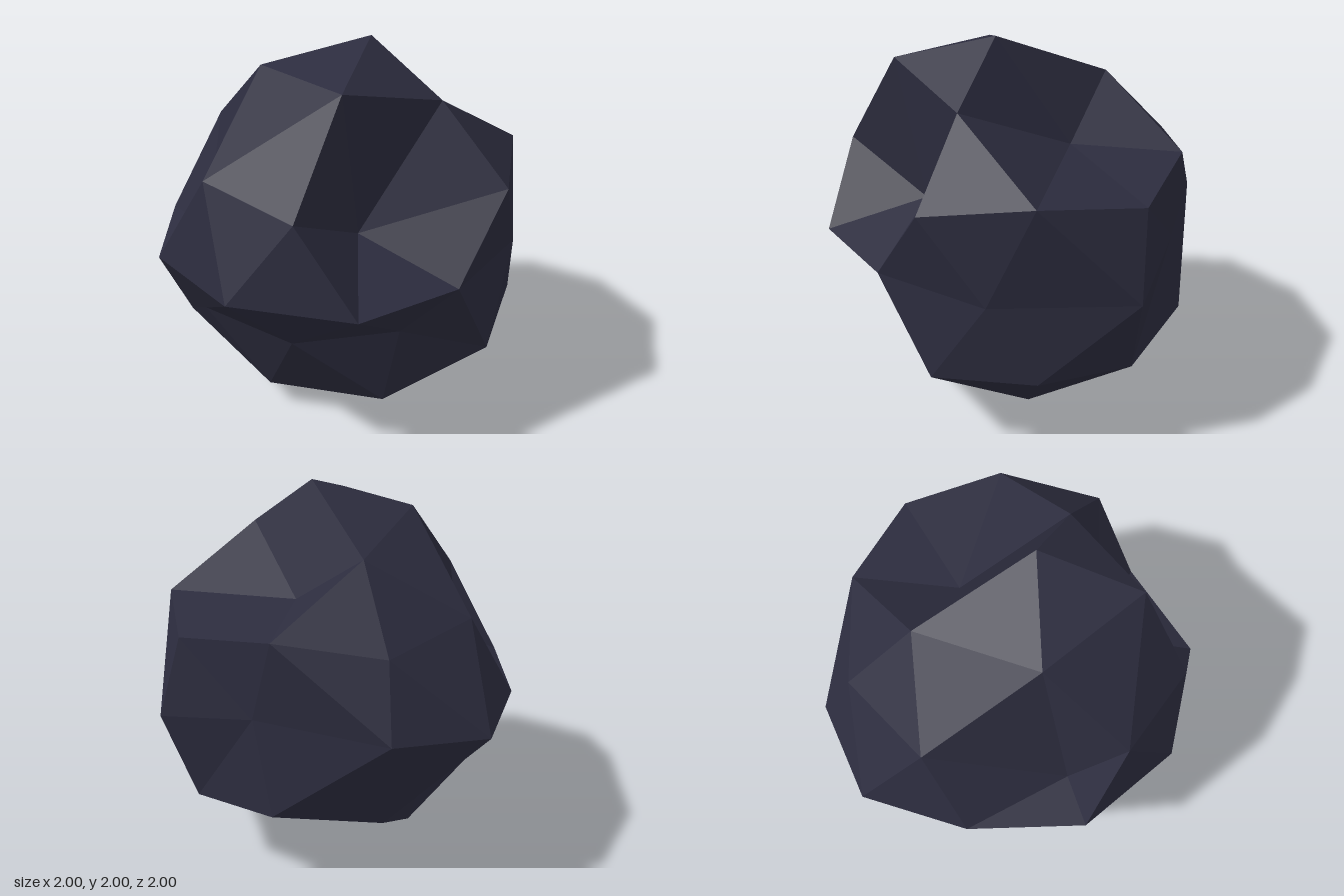
import * as THREE from 'three';

// Rock proportions: a squashed sphere standing on the ground
const CENTRE = new THREE.Vector3(-0.025, 0.937, 0.128);
const RADII = new THREE.Vector3(1.037, 0.933, 0.993);

// Corners of the base icosahedron: Top, Bottom, Upper ring and Lower ring
const corners = { T: new THREE.Vector3(0, 1, 0), B: new THREE.Vector3(0, -1, 0) };
for (let k = 0; k < 5; k++) {
  const r = 2 / Math.sqrt(5), h = 1 / Math.sqrt(5);
  const upper = (72 * k * Math.PI) / 180, lower = upper + Math.PI / 5;
  corners['U' + k] = new THREE.Vector3(r * Math.cos(upper), h, r * Math.sin(upper));
  corners['L' + k] = new THREE.Vector3(r * Math.cos(lower), -h, r * Math.sin(lower));
}

// Chips, ledges and bulges: corners, or edge middles, moved off the sphere
const chips = {
  // raised crest
  T: [0, 2, 0.265], TU2: [-0.435, 1.86, 0.57], TU3: [-0.435, 1.86, -0.055],
  // hollows in the upper half
  TU0: [0.28, 1.455, 0.02], U1U2: [-0.29, 1.117, 0.52], U3: [-0.767, 1.055, -0.107],
  // uneven waist
  L0U0: [0.99, 0.91, 0.23], L0U1: [0.54, 0.93, 0.807], L1U1: [-0.065, 0.935, 0.995],
  L3U4: [-0.152, 0.937, -1], L4U4: [0.36, 0.99, -0.866], L4U0: [0.74, 1.01, -0.267],
  // undercut below the waist
  L1: [-0.187, 0.618, 0.73], L1L2: [-0.615, 0.553, 0.4], L2: [-0.82, 0.62, -0.07],
  L3: [-0.377, 0.664, -0.416], BL4: [0.1, 0.42, -0.16],
};

// Position of a corner (a === b) or of the middle of the edge a-b
function point(a, b = a) {
  const order = 'TBLU';
  const [p, q] = [a, b].sort((m, n) => order.indexOf(m[0]) - order.indexOf(n[0]) || m.localeCompare(n));
  const chip = chips[p === q ? p : p + q];
  if (chip) return new THREE.Vector3(...chip);
  return corners[p].clone().add(corners[q]).normalize().multiply(RADII).add(CENTRE);
}

function rockGeometry() {
  const points = [];
  // Split each icosahedron face into four facets
  const face = (a, b, c) => {
    const ab = point(a, b), bc = point(b, c), ca = point(c, a);
    points.push(point(a), ab, ca, ab, point(b), bc, ca, bc, point(c), ab, bc, ca);
  };
  for (let k = 0; k < 5; k++) {
    const n = (k + 1) % 5;
    face('T', 'U' + n, 'U' + k);
    face('L' + k, 'U' + k, 'U' + n);
    face('U' + n, 'L' + n, 'L' + k);
    face('B', 'L' + k, 'L' + n);
  }
  const geometry = new THREE.BufferGeometry().setFromPoints(points);
  geometry.computeVertexNormals();
  return geometry;
}

export function createModel() {
  const stone = new THREE.MeshStandardMaterial({ color: 0x2c2c3e, flatShading: true });
  stone.name = 'dark slate';
  const rock = new THREE.Mesh(rockGeometry(), stone);
  rock.name = 'rock';
  const group = new THREE.Group();
  group.name = 'boulder';
  group.add(rock);
  return group;
}
